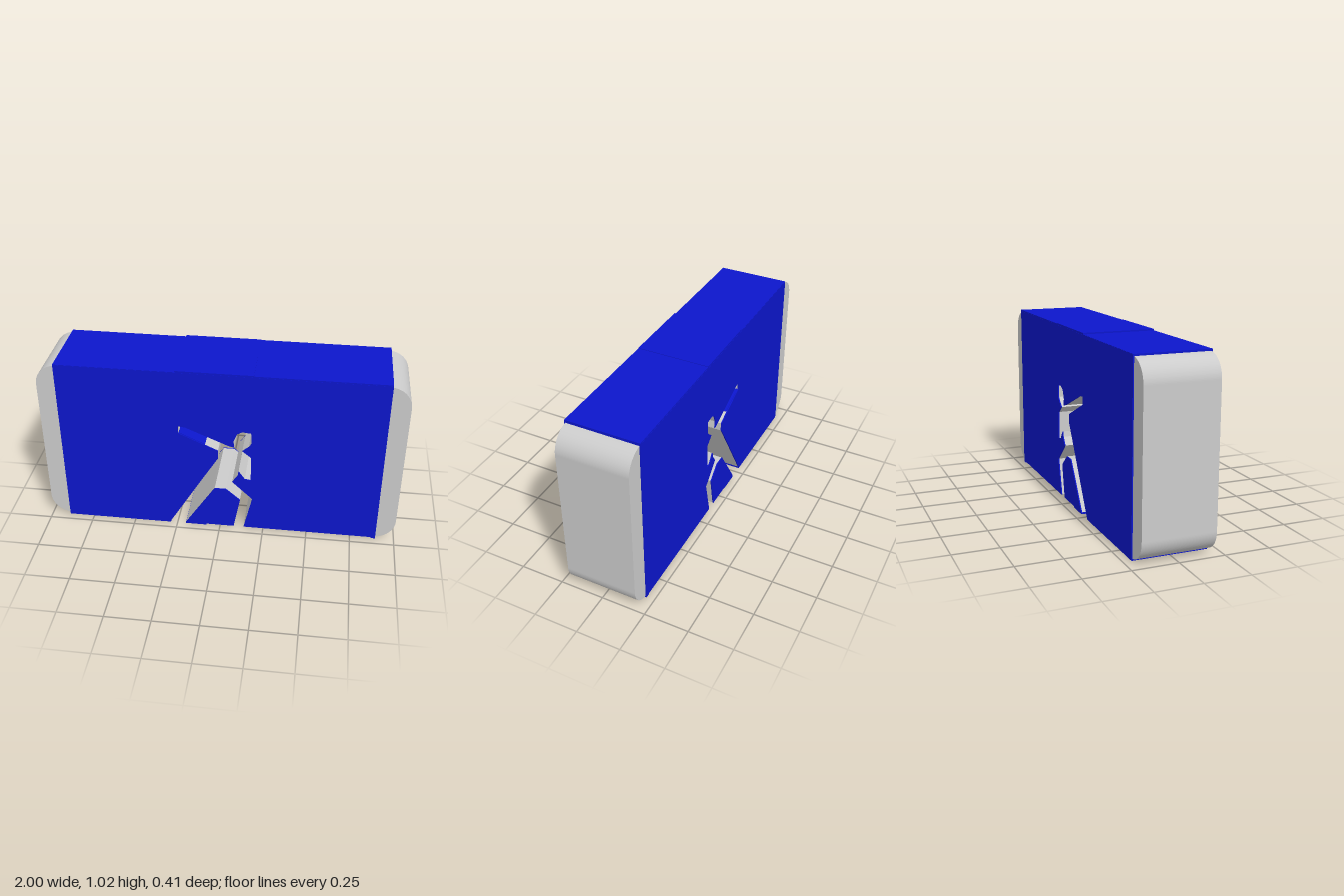
import * as THREE from 'three';

const grey = new THREE.MeshStandardMaterial({ color: 0xcccccc });
const blue = new THREE.MeshStandardMaterial({ color: 0x0c16cc });

// Edge of the cut-out figure: back foot, arm, head, bent arm, front foot
const figure = [
  [-0.10, 0.33], [-0.01, 0.48], [-0.01, 0.53], [-0.23, 0.63], [-0.23, 0.675], [-0.19, 0.67],
  [0.045, 0.57], [0.08, 0.56], [0.075, 0.60], [0.095, 0.65], [0.125, 0.665], [0.172, 0.66],
  [0.174, 0.59], [0.16, 0.57], [0.125, 0.54], [0.174, 0.50], [0.174, 0.345], [0.14, 0.35],
  [0.105, 0.40], [0.10, 0.37], [0.07, 0.325], [0.185, 0.215],
];

// Slab outline with the figure cut up from its bottom edge
function slabShape(w, y0, y1, r) {
  const s = new THREE.Shape();
  s.moveTo(-w + r, y0);
  s.lineTo(-0.29, y0);
  figure.forEach(([x, y]) => s.lineTo(x, y));
  s.lineTo(0.138, y0);
  s.lineTo(w - r, y0);
  if (r) s.absarc(w - r, y0 + r, r, -Math.PI / 2, 0);
  else s.lineTo(w, y0);
  s.lineTo(w, y1 - r);
  if (r) s.absarc(w - r, y1 - r, r, 0, Math.PI / 2);
  else s.lineTo(w, y1);
  s.lineTo(-w + r, y1);
  if (r) s.absarc(-w + r, y1 - r, r, Math.PI / 2, Math.PI);
  else s.lineTo(-w, y1);
  s.lineTo(-w, y0 + r);
  if (r) s.absarc(-w + r, y0 + r, r, Math.PI, Math.PI * 1.5);
  return s;
}

// Loose piece between the legs
function wedgeShape(y0) {
  return new THREE.Shape([[-0.20, y0], [0.08, y0], [0.115, 0.20], [0.035, 0.27], [-0.03, 0.27], [-0.05, 0.24]]
    .map(([x, y]) => new THREE.Vector2(x, y)));
}

export function createModel() {
  const group = new THREE.Group();

  function add(name, geometry, material, x = 0, y = 0, z = 0) {
    const mesh = new THREE.Mesh(geometry, material);
    mesh.name = name;
    mesh.position.set(x, y, z);
    group.add(mesh);
    return mesh;
  }
  const extrude = (shape, depth) =>
    new THREE.ExtrudeGeometry(shape, { depth, bevelEnabled: false, curveSegments: 16 });
  const strip = (name, x0, x1, y0, y1) =>
    add(name, new THREE.BoxGeometry(x1 - x0, y1 - y0, 0.41), blue, (x0 + x1) / 2, (y0 + y1) / 2, 0);

  // Grey rounded body and the piece between the legs
  add('body', extrude(slabShape(1, 0.01, 1.0, 0.12), 0.4), grey, 0, 0, -0.2);
  add('legWedge', extrude(wedgeShape(0.01), 0.4), grey, 0, 0, -0.2);

  // Blue panels on front and back
  for (const [side, z] of [['front', 0.2], ['back', -0.206]]) {
    add(side + 'Panel', extrude(slabShape(0.895, 0.008, 1.008, 0), 0.006), blue, 0, 0, z);
    add(side + 'WedgePanel', extrude(wedgeShape(0.008), 0.006), blue, 0, 0, z);
  }

  // Top covers, slightly stepped
  strip('topCoverRight', -0.895, -0.24, 1.0, 1.01);
  strip('topCoverMiddle', -0.24, 0.18, 1.0, 1.018);
  strip('topCoverLeft', 0.18, 0.895, 1.0, 1.015);

  // Bottom covers
  strip('bottomCoverRight', -0.895, -0.29, 0, 0.011);
  strip('bottomCoverWedge', -0.20, -0.08, 0, 0.011);
  strip('bottomCoverLeft', 0.87, 0.895, 0, 0.011);

  // Blue lining under the outstretched arm
  const lining = add('armLining', new THREE.BoxGeometry(0.16, 0.004, 0.4), blue, -0.155, 0.597, 0);
  lining.rotation.z = -Math.atan2(0.10, 0.22);

  return group;
}
